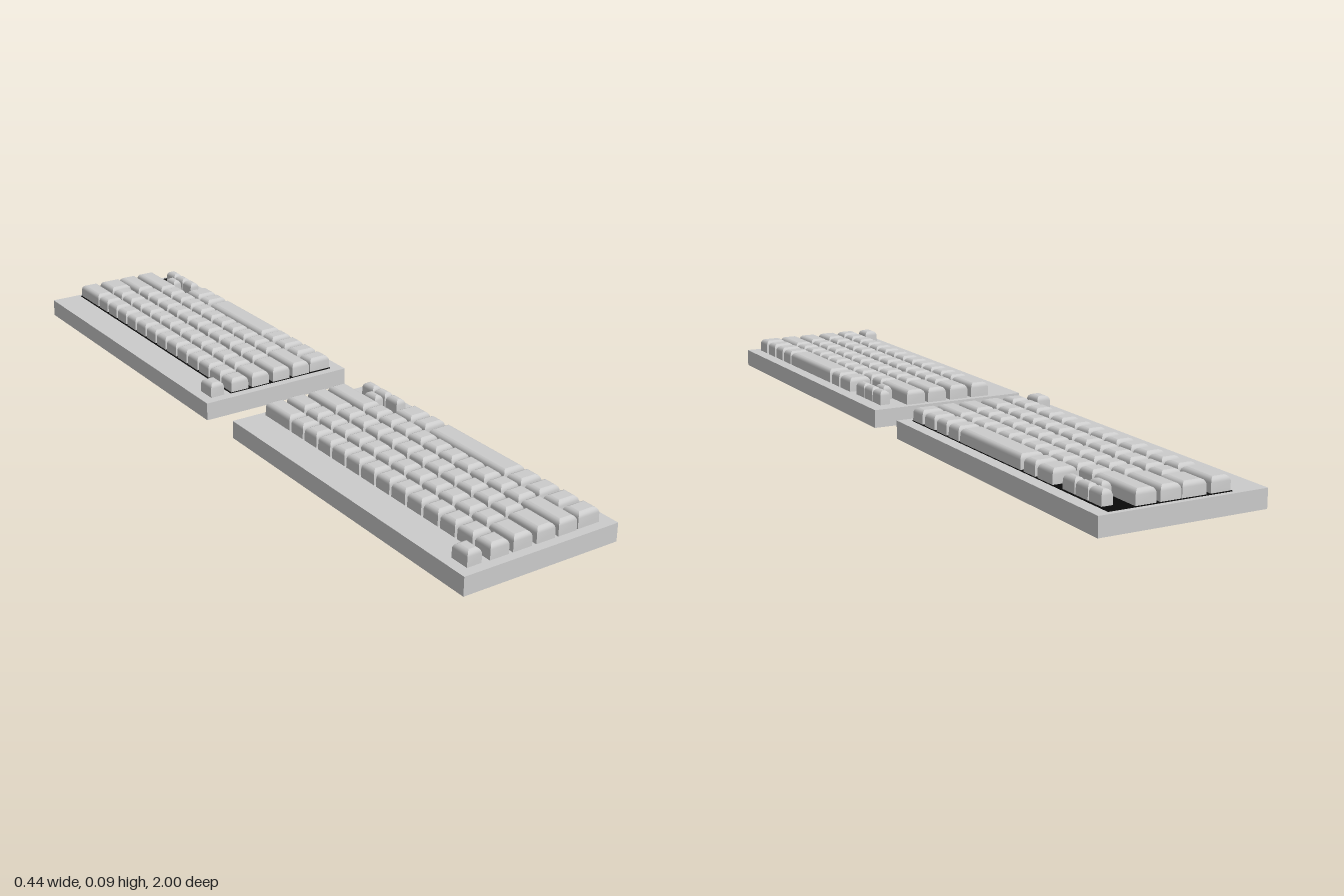
import * as THREE from 'three';

const grey = new THREE.MeshStandardMaterial({ color: 0xcccccc });
const black = new THREE.MeshStandardMaterial({ color: 0x0a0a0a });
const CASE_TOP = 0.048;

// Keycap levels from bottom to top: [height, inset from the footprint]
const CAP = [[0.047, 0], [0.073, 0.0005], [0.079, 0.0025], [0.083, 0.006], [0.085, 0.011]];

// Keycap with a rounded top edge, filling the given footprint
function keycap(name, x0, x1, z0, z1) {
  const w = x1 - x0, d = z1 - z0, n = CAP.length - 1;
  const geo = new THREE.BoxGeometry(w, 1, d, 1, n, 1);
  const p = geo.attributes.position;
  for (let i = 0; i < p.count; i++) {
    const [y, inset] = CAP[Math.round((p.getY(i) + 0.5) * n)];
    p.setXYZ(i, Math.sign(p.getX(i)) * (w / 2 - inset), y, Math.sign(p.getZ(i)) * (d / 2 - inset));
  }
  geo.computeVertexNormals();
  const mesh = new THREE.Mesh(geo, grey);
  mesh.name = name;
  mesh.position.set((x0 + x1) / 2, 0, (z0 + z1) / 2);
  return mesh;
}

function slab(name, x0, x1, y0, y1, z0, z1, material) {
  const mesh = new THREE.Mesh(new THREE.BoxGeometry(x1 - x0, y1 - y0, z1 - z0), material);
  mesh.name = name;
  mesh.position.set((x0 + x1) / 2, (y0 + y1) / 2, (z0 + z1) / 2);
  return mesh;
}

const ones = (n) => Array(n).fill(1);

// Four main rows: x range and key widths in units, along +z
const ROWS = [
  { name: 'numberRow', x: [-0.13, -0.077], keys: [2, ...ones(13)] },
  { name: 'upperLetterRow', x: [-0.066, -0.012], keys: [1.5, ...ones(12), 1.5] },
  { name: 'homeRow', x: [0, 0.054], keys: [2.25, ...ones(11), 1.75] },
  { name: 'lowerLetterRow', x: [0.063, 0.117], keys: [2.75, ...ones(10), 2.25] },
];
const START = 0.077, UNIT = 0.0602, GAP = 0.008;

// Bottom row: z ranges, the long one being the space bar
const BOTTOM = [[0.298, 0.362], [0.372, 0.421], [0.436, 0.722], [0.73, 0.781],
  [0.793, 0.844], [0.857, 0.908], [0.921, 0.974]];

// Arrow cluster of half-width keys: x0, x1, z0, z1
const ARROWS = [[0.122, 0.149, 0.162, 0.21], [0.153, 0.182, 0.11, 0.158],
  [0.153, 0.182, 0.162, 0.21], [0.153, 0.182, 0.214, 0.262]];

function keyboard(name, darkPlate) {
  const board = new THREE.Group();
  board.name = name;
  board.add(slab('case', -0.219, 0.219, 0, CASE_TOP, 0.065, 1, grey));
  if (darkPlate) board.add(slab('keyPlate', -0.133, 0.186, CASE_TOP - 0.01, CASE_TOP + 0.002, 0.079, 0.977, black));

  for (const row of ROWS) {
    const group = new THREE.Group();
    group.name = row.name;
    let z = START;
    row.keys.forEach((units, i) => {
      const end = z + units * UNIT;
      // The return key of the dark-plated board reaches toward the next row
      const wide = darkPlate && row.name === 'upperLetterRow' && i === 0 ? 0.01 : 0;
      group.add(keycap('key', row.x[0], row.x[1] + wide, z + GAP / 2, end - GAP / 2));
      z = end;
    });
    board.add(group);
  }

  const bottom = new THREE.Group();
  bottom.name = 'bottomRow';
  BOTTOM.forEach(([a, b], i) => bottom.add(keycap(i === 2 ? 'spaceBar' : 'modifierKey', 0.122, 0.185, a, b)));
  board.add(bottom);

  const arrows = new THREE.Group();
  arrows.name = 'arrowKeys';
  for (const a of ARROWS) arrows.add(keycap('arrowKey', ...a));
  board.add(arrows);

  board.add(keycap('cornerKey', -0.191, -0.151, 0.921, 0.974));
  return board;
}

export function createModel() {
  const model = new THREE.Group();
  model.name = 'keyboardPair';
  const back = keyboard('backKeyboard', true);
  back.position.z = -1.065;
  model.add(keyboard('frontKeyboard', false), back);
  return model;
}
